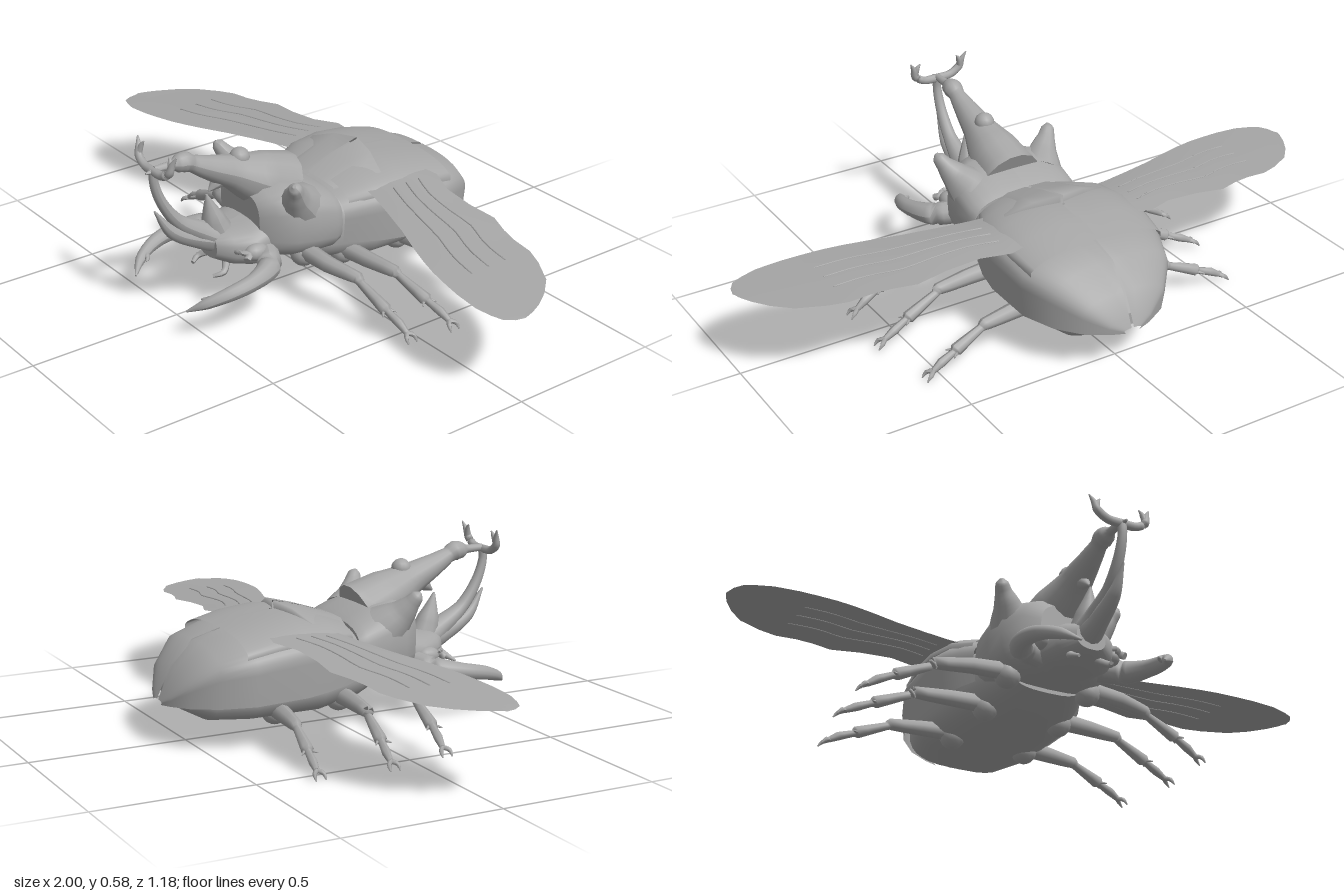
import * as THREE from 'three';

const grey = new THREE.MeshStandardMaterial({ color: 0xa6a6a6, side: THREE.DoubleSide });
grey.name = 'shell grey';

const V = (p) => new THREE.Vector3(...p);
const lerp = THREE.MathUtils.lerp;

// Skin a list of equally long point rows
function loft(rows, caps = false) {
  const n = rows[0].length, pos = rows.flat(2), idx = [];
  for (let i = 0; i < rows.length - 1; i++)
    for (let j = 0; j < n - 1; j++) {
      const a = i * n + j, b = a + n;
      idx.push(a, b, a + 1, b, b + 1, a + 1);
    }
  if (caps) for (const [row, first] of [[rows[0], true], [rows[rows.length - 1], false]]) {
    const base = pos.length / 3;
    pos.push(...row.flat());
    for (let j = 1; j < n - 1; j++) {
      if (first) idx.push(base, base + j, base + j + 1);
      else idx.push(base, base + j + 1, base + j);
    }
  }
  const g = new THREE.BufferGeometry();
  g.setAttribute('position', new THREE.Float32BufferAttribute(pos, 3));
  g.setIndex(idx);
  g.computeVertexNormals();
  return g;
}

// Tapered round limb along a curve through points [x, y, z, radius]
function limb(pts, steps = 4, sides = 10, curved = true) {
  const vs = pts.map(V), n = pts.length - 1, total = n * steps;
  const curve = new THREE.CatmullRomCurve3(vs, false, 'centripetal');
  const rows = [];
  for (let i = 0; i <= total; i++) {
    const t = i / total, k = Math.min(n - 1, Math.floor(t * n)), f = t * n - k;
    const c = curved ? curve.getPoint(t) : vs[k].clone().lerp(vs[k + 1], f);
    const d = curve.getTangent(t), r = lerp(pts[k][3], pts[k + 1][3], f);
    const ref = Math.abs(d.x) > 0.8 ? V([0, 1, 0]) : V([1, 0, 0]);
    const u = ref.addScaledVector(d, -ref.dot(d)).normalize(), w = d.clone().cross(u);
    rows.push(Array.from({ length: sides + 1 }, (_, j) => {
      const a = -j / sides * Math.PI * 2;
      return c.clone().addScaledVector(u, r * Math.cos(a)).addScaledVector(w, r * Math.sin(a)).toArray();
    }));
  }
  return loft(rows, true);
}

// Rounded-box body from sections [z, halfWidth, top, bottom]
function body(sections, power = 0.65, sides = 28) {
  const pw = (v) => Math.sign(v) * Math.abs(v) ** power;
  return loft(sections.map(([z, w, t, b]) => Array.from({ length: sides + 1 }, (_, j) => {
    const a = j / sides * Math.PI * 2;
    return [w * pw(Math.sin(a)), (t + b) / 2 + (t - b) / 2 * pw(Math.cos(a)), z];
  })), true);
}

// One half of a domed wing case, from the middle seam down the flank
function caseHalf(sections, s, sweep, skirt) {
  return loft(sections.map(([z, w, t, b]) => {
    const mid = lerp(b, t, 0.5), row = [];
    for (let j = 0; j <= 10; j++) {
      const a = j / 10 * sweep;
      row.push([s * (0.004 + w * Math.sin(a) ** 0.8), mid + (t - mid) * Math.max(0, Math.cos(a)) ** 0.75, z]);
    }
    row.push(skirt ? [s * w * 0.98, b, z] : row[10].map((v, k) => (k === 1 ? v - 0.015 : v)));
    return s > 0 ? row : row.reverse();
  }));
}

export function createModel() {
  const root = new THREE.Group();
  root.name = 'beetle';
  const add = (name, geo) => {
    const m = new THREE.Mesh(geo, grey);
    m.name = name;
    root.add(m);
    return m;
  };
  const ball = (name, p, r, sx = 1, sy = 1, sz = 1) => {
    const m = add(name, new THREE.SphereGeometry(r, 14, 10));
    m.position.set(...p);
    m.scale.set(sx, sy, sz);
  };

  // Trunk
  add('belly', body([[0.12, 0.13, 0.28, 0.13], [0.03, 0.17, 0.32, 0.095], [-0.12, 0.21, 0.33, 0.072],
    [-0.35, 0.22, 0.31, 0.075], [-0.47, 0.18, 0.28, 0.083], [-0.53, 0.12, 0.2, 0.115], [-0.55, 0.06, 0.17, 0.13]]));
  add('thorax', body([[0.255, 0.1, 0.36, 0.17], [0.225, 0.15, 0.385, 0.155], [0.17, 0.19, 0.395, 0.148],
    [0.1, 0.2, 0.385, 0.14], [0.03, 0.2, 0.355, 0.14], [0.005, 0.19, 0.34, 0.15]]));
  add('head', body([[0.38, 0.05, 0.25, 0.17], [0.34, 0.1, 0.265, 0.15], [0.28, 0.13, 0.27, 0.135],
    [0.22, 0.13, 0.29, 0.14]], 0.8));

  // Horns on the middle line
  add('thoraxHorn', limb([[0, 0.34, 0.1, 0.1], [0, 0.385, 0.2, 0.085], [0, 0.43, 0.29, 0.053], [0, 0.47, 0.38, 0.036],
    [0, 0.495, 0.43, 0.026], [0, 0.507, 0.455, 0.032], [0, 0.508, 0.48, 0.027], [0, 0.509, 0.5, 0.014],
    [0, 0.51, 0.56, 0.011]], 4, 14));
  ball('hornKnob', [0, 0.468, 0.256], 0.032);
  add('hornTooth', limb([[0, 0.43, 0.31, 0.03], [0, 0.405, 0.345, 0.02], [0, 0.387, 0.372, 0.003]]));
  add('headHorn', limb([[0, 0.21, 0.31, 0.06], [0, 0.26, 0.4, 0.036], [0, 0.32, 0.485, 0.022],
    [0, 0.4, 0.54, 0.017], [0, 0.47, 0.563, 0.014], [0, 0.512, 0.562, 0.014]], 5, 12));
  add('headProng', limb([[0, 0.215, 0.31, 0.055], [0, 0.245, 0.42, 0.032], [0, 0.295, 0.51, 0.021],
    [0, 0.375, 0.565, 0.003]], 5, 12));
  add('browSpike', limb([[0, 0.24, 0.34, 0.05], [0, 0.3, 0.36, 0.035], [0, 0.378, 0.38, 0.003]]));
  add('forkSpur', limb([[0, 0.507, 0.555, 0.014], [0, 0.505, 0.59, 0.003]]));

  // Sections of the wing cases, front to back
  const shell = [[0, 0.19, 0.335, 0.175], [-0.05, 0.215, 0.352, 0.17], [-0.12, 0.24, 0.367, 0.165],
    [-0.2, 0.253, 0.372, 0.158], [-0.37, 0.248, 0.345, 0.15], [-0.47, 0.205, 0.318, 0.145],
    [-0.54, 0.14, 0.245, 0.14], [-0.575, 0.07, 0.175, 0.135], [-0.588, 0.025, 0.145, 0.132]];
  const cover = [[-0.02, 0.2, 0.352, 0.18], [-0.1, 0.245, 0.378, 0.17], [-0.2, 0.262, 0.386, 0.16],
    [-0.3, 0.262, 0.375, 0.155], [-0.395, 0.25, 0.352, 0.15]];

  // Wing outline [x, back z, front z]
  const wing = [[0.15, -0.3, -0.09], [0.25, -0.32, -0.07], [0.34, -0.285, -0.045], [0.45, -0.28, -0.012],
    [0.55, -0.29, 0.025], [0.62, -0.265, 0.048], [0.68, -0.252, 0.064], [0.75, -0.248, 0.076], [0.81, -0.225, 0.084],
    [0.89, -0.18, 0.087], [0.94, -0.125, 0.076], [0.975, -0.07, 0.062], [0.993, -0.03, 0.035], [1, -0.006, 0.004]];
  const wingY = (x, f) => lerp(0.35, 0.28, (x - 0.15) / 0.85) + 0.014 * Math.sin(f * Math.PI) * (1 - x) - 0.012 * f * (1 - x * 0.7);

  // Legs: points [x, y, z, radius]
  const legs = {
    frontLeg: [[0.14, 0.17, 0.12, 0.03], [0.26, 0.165, 0.115, 0.026], [0.37, 0.158, 0.09, 0.02], [0.385, 0.145, 0.088, 0.013],
      [0.49, 0.1, 0.078, 0.02], [0.5, 0.095, 0.077, 0.011], [0.545, 0.075, 0.07, 0.014], [0.575, 0.055, 0.066, 0.009]],
    middleLeg: [[0.13, 0.125, -0.04, 0.03], [0.25, 0.125, -0.05, 0.026], [0.36, 0.125, -0.065, 0.02], [0.375, 0.115, -0.07, 0.013],
      [0.48, 0.075, -0.088, 0.02], [0.49, 0.07, -0.09, 0.011], [0.535, 0.053, -0.1, 0.014], [0.57, 0.036, -0.105, 0.009]],
    hindLeg: [[0.13, 0.11, -0.26, 0.03], [0.23, 0.11, -0.275, 0.026], [0.33, 0.108, -0.29, 0.02], [0.345, 0.1, -0.292, 0.013],
      [0.44, 0.065, -0.308, 0.02], [0.45, 0.06, -0.31, 0.011], [0.495, 0.045, -0.318, 0.014], [0.525, 0.028, -0.322, 0.009]],
  };

  for (const s of [1, -1]) {
    const side = s > 0 ? 'left' : 'right';
    const m = (pts) => pts.map(([x, ...r]) => [s * x, ...r]);

    // Wing cases, raised front covers and the tilted plate behind the thorax
    add(side + 'WingCase', caseHalf(shell, s, Math.PI / 2, true));
    add(side + 'FrontCover', caseHalf(cover, s, 1.1, false));
    const plate = [[[0.004, 0.35, 0], [0.07, 0.348, 0], [0.12, 0.335, -0.01], [0.13, 0.31, -0.01]],
      [[0.004, 0.385, -0.1], [0.08, 0.38, -0.1], [0.15, 0.355, -0.09], [0.155, 0.33, -0.09]],
      [[0.004, 0.41, -0.2], [0.09, 0.4, -0.18], [0.175, 0.368, -0.155], [0.18, 0.34, -0.155]],
      [[0.004, 0.375, -0.2], [0.09, 0.37, -0.18], [0.175, 0.345, -0.155], [0.18, 0.335, -0.155]]];
    add(side + 'BackPlate', loft(plate.map((r) => (s > 0 ? m(r) : m(r).reverse()))));

    // Thin spread wing with a few raised veins
    add(side + 'Wing', loft(wing.map(([x, b, f]) => {
      const row = Array.from({ length: 7 }, (_, j) => [s * x, wingY(x, j / 6), lerp(b, f, j / 6)]);
      return s > 0 ? row : row.reverse();
    })));
    for (const f of [0.3, 0.5, 0.7])
      add(side + 'WingVein', limb(wing.slice(1, 8).map(([x, b, e]) => [s * x, wingY(x, f), lerp(b, e, f), 0.0025]), 2, 5));

    // Shoulder spikes, eyes and feelers
    add(side + 'ShoulderSpike', limb(m([[0.13, 0.32, 0.13, 0.075], [0.165, 0.365, 0.165, 0.045],
      [0.19, 0.4, 0.185, 0.027], [0.203, 0.422, 0.198, 0.02], [0.208, 0.432, 0.205, 0.006]]), 4, 12));
    ball(side + 'Eye', [s * 0.122, 0.205, 0.285], 0.04, 0.7, 0.7, 1);
    add(side + 'Feeler', limb(m([[0.07, 0.2, 0.33, 0.01], [0.11, 0.215, 0.34, 0.008], [0.135, 0.21, 0.32, 0.011],
      [0.145, 0.2, 0.335, 0.012]]), 3, 7));
    add(side + 'MouthFeeler', limb(m([[0.04, 0.16, 0.34, 0.012], [0.07, 0.14, 0.37, 0.01], [0.055, 0.13, 0.4, 0.006]]), 3, 7));

    // Jaws
    add(side + 'Jaw', limb(m([[0.11, 0.185, 0.24, 0.04], [0.18, 0.175, 0.28, 0.037], [0.213, 0.165, 0.36, 0.027],
      [0.21, 0.15, 0.44, 0.023], [0.18, 0.125, 0.51, 0.017], [0.14, 0.097, 0.555, 0.003]]), 5, 12));
    add(side + 'JawTooth', limb(m([[0.19, 0.135, 0.49, 0.014], [0.165, 0.13, 0.495, 0.009], [0.15, 0.128, 0.508, 0.002]])));

    // Fork at the top of the head horn
    add(side + 'ForkArm', limb(m([[0, 0.505, 0.562, 0.014], [0.05, 0.508, 0.562, 0.013], [0.083, 0.53, 0.56, 0.013],
      [0.09, 0.555, 0.555, 0.01], [0.104, 0.582, 0.548, 0.002]])));
    add(side + 'ForkTine', limb(m([[0.085, 0.535, 0.558, 0.011], [0.078, 0.56, 0.553, 0.008], [0.068, 0.575, 0.55, 0.002]])));

    // Legs with hip joints and split claws
    for (const [name, pts] of Object.entries(legs)) {
      add(side + name, limb(m(pts), 3, 8, false));
      ball(side + name + 'Hip', [s * pts[0][0], pts[0][1] - 0.012, pts[0][2]], 0.042);
      const [x, y, z] = pts[pts.length - 1];
      for (const d of [1, -1])
        add(side + name + 'Claw', limb(m([[x, y, z, 0.008], [x + 0.016, y - 0.006, z + d * 0.014, 0.007],
          [x + 0.03, y - 0.022, z + d * 0.016, 0.002]]), 3, 6));
      const [kx, ky, kz] = pts[4];
      for (const d of [1, -1])
        add(side + name + 'Spur', limb(m([[kx - 0.01, ky, kz, 0.01], [kx + 0.02, ky - 0.008, kz + d * 0.026, 0.002]]), 2, 6));
    }
  }
  return root;
}
